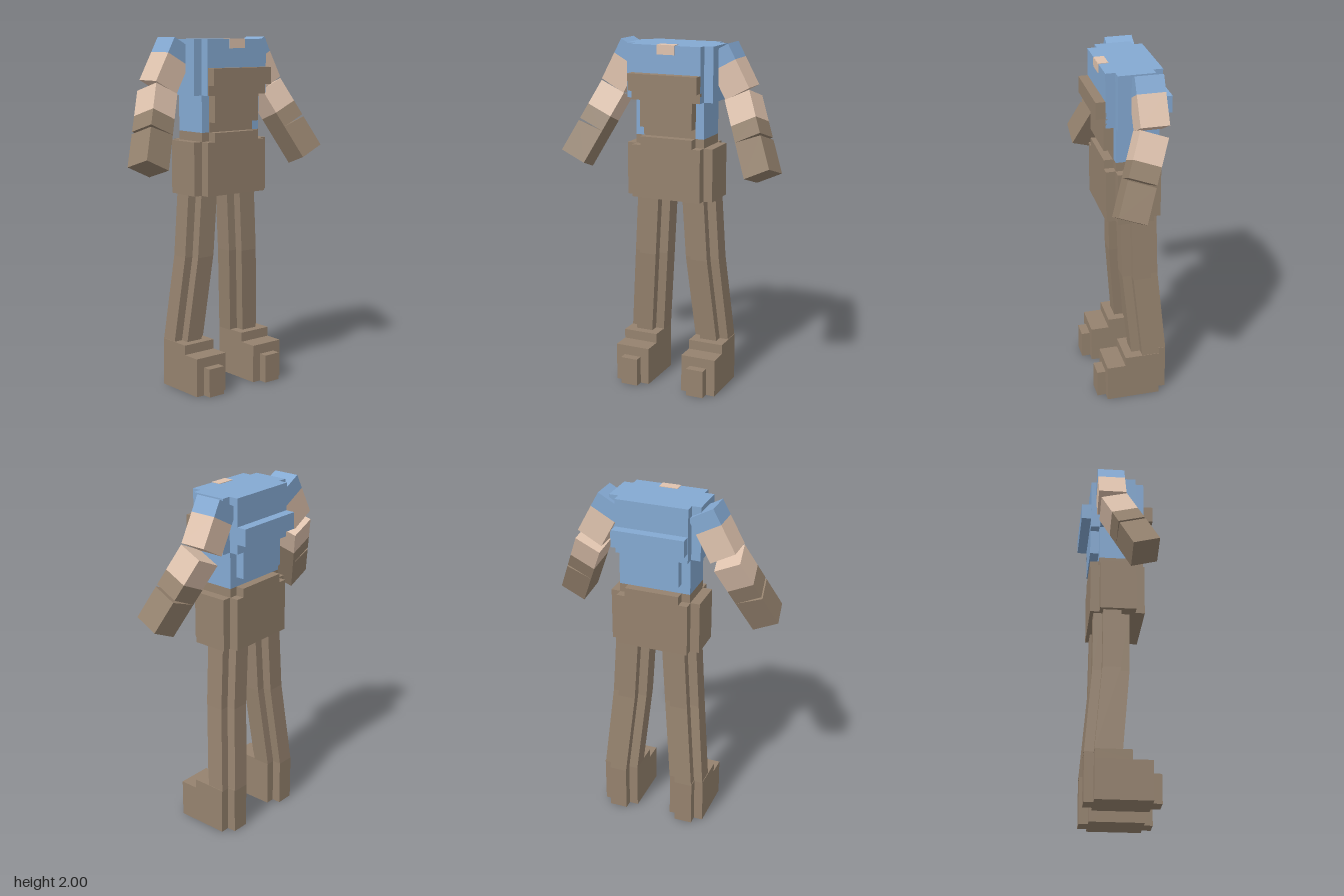
import * as THREE from 'three';

const mat = (name, color) => Object.assign(new THREE.MeshStandardMaterial({ color }), { name });

export function createModel() {
  const blue = mat('shirt blue', 0x84a9d2);
  const brown = mat('overall brown', 0x95826e);
  const skin = mat('skin', 0xdfc3ae);
  const model = new THREE.Group();
  const V = (x, y, z) => new THREE.Vector3(x, y, z);

  // Axis-aligned block given by its limits
  function block(name, m, x0, x1, y0, y1, z0, z1, parent = model) {
    const mesh = new THREE.Mesh(new THREE.BoxGeometry(x1 - x0, y1 - y0, z1 - z0), m);
    mesh.position.set((x0 + x1) / 2, (y0 + y1) / 2, (z0 + z1) / 2);
    mesh.name = name;
    parent.add(mesh);
    return mesh;
  }

  // Plus-shaped outline: a rectangle with a square notch in each corner
  function plusShape(w, d, n) {
    const a = w / 2, b = d / 2;
    return new THREE.Shape([
      [a - n, -b], [a - n, n - b], [a, n - b], [a, b - n], [a - n, b - n], [a - n, b],
      [n - a, b], [n - a, b - n], [-a, b - n], [-a, n - b], [n - a, n - b], [n - a, -b],
    ].map(([x, y]) => new THREE.Vector2(x, y)));
  }

  // Plus-shaped column sheared between a bottom and a top centre
  function column(name, m, bottom, top, w, d, n, parent = model) {
    const h = top.y - bottom.y;
    const g = new THREE.ExtrudeGeometry(plusShape(w, d, n), { depth: h, bevelEnabled: false });
    g.rotateX(-Math.PI / 2);
    const p = g.attributes.position;
    for (let i = 0; i < p.count; i++) {
      const t = p.getY(i) / h;
      p.setX(i, p.getX(i) + (top.x - bottom.x) * t);
      p.setZ(i, p.getZ(i) + (top.z - bottom.z) * t);
    }
    g.translate(bottom.x, bottom.y, bottom.z);
    g.computeVertexNormals();
    const mesh = new THREE.Mesh(g, m);
    mesh.name = name;
    parent.add(mesh);
  }

  // Torso and hips
  const cx = 0.005, cz = -0.01;
  column('chest', blue, V(cx, 1.68, cz), V(cx, 1.985, cz), 0.52, 0.31, 0.053);
  block('backBand', blue, -0.2, 0.212, 1.735, 1.83, -0.22, -0.16);
  block('belly', blue, -0.2, 0.212, 1.475, 1.68, -0.115, 0.09);
  block('lowerBack', blue, -0.15, 0.163, 1.53, 1.68, -0.165, -0.115);
  block('bibBand', brown, -0.2, 0.212, 1.735, 1.83, 0.14, 0.198);
  block('bibUpper', brown, -0.2, 0.212, 1.68, 1.735, 0.095, 0.148);
  block('bibLower', brown, -0.15, 0.163, 1.53, 1.68, 0.09, 0.145);
  block('bibWaist', brown, -0.15, 0.163, 1.475, 1.53, 0.085, 0.094);
  block('waistband', brown, -0.2, 0.212, 1.425, 1.475, -0.115, 0.09);
  block('waistbandMiddle', brown, -0.15, 0.163, 1.425, 1.475, -0.165, 0.145);
  column('hips', brown, V(cx, 1.125, cz), V(cx, 1.425, cz), 0.52, 0.31, 0.053);

  // Neck opening: thin plates on the top and the front of the chest
  block('neckTop', skin, -0.047, 0.06, 1.982, 1.988, 0.09, 0.147);
  block('neckFront', skin, -0.047, 0.06, 1.935, 1.985, 0.141, 0.148);

  // Arm piece: width along u, depth along v, running from t0 to t1 along d.
  // The origin is the front outer edge; "gap" opens a wedge at the outer top.
  function armPiece(name, m, origin, u, v, d, t0, t1, parent, gap = 0) {
    const w = 0.156, g = new THREE.BoxGeometry(w, t1 - t0, w);
    g.translate(-w / 2, -(t0 + t1) / 2, -w / 2);
    const p = g.attributes.position;
    for (let i = 0; i < p.count; i++) {
      if (p.getX(i) > -0.01 && p.getY(i) > -t0 - 0.01) p.setY(i, -t0 - gap);
    }
    const basis = new THREE.Matrix4().makeBasis(u, d.clone().negate(), v.clone().negate());
    g.applyMatrix4(basis.setPosition(origin));
    g.computeVertexNormals();
    const mesh = new THREE.Mesh(g, m);
    mesh.name = name;
    parent.add(mesh);
  }

  function arm(parent) {
    // Upper arm slopes outward
    const u1 = V(0.878, 0.478, 0), v1 = V(0, 0, -1), d1 = V(0.478, -0.878, 0);
    const shoulder = V(0.323, 1.997, 0.018);
    armPiece('sleeve', blue, shoulder, u1, v1, d1, 0, 0.093, parent);
    armPiece('upperArm', skin, shoulder, u1, v1, d1, 0.093, 0.265, parent);
    // Forearm also swings forward, leaving a notch behind the elbow
    const u2 = V(0.908, 0.419, 0).normalize();
    const d2 = V(0.392, -0.849, 0.347);
    d2.addScaledVector(u2, -d2.dot(u2)).normalize();
    const v2 = new THREE.Vector3().crossVectors(d2, u2).normalize();
    if (v2.z > 0) v2.negate();
    const elbow = V(0.45, 1.756, 0.02);
    armPiece('forearm', skin, elbow, u2, v2, d2, 0, 0.155, parent);
    armPiece('gloveCuff', brown, elbow, u2, v2, d2, 0.155, 0.25, parent);
    armPiece('hand', brown, elbow, u2, v2, d2, 0.25, 0.46, parent, 0.014);
  }

  function leg(parent) {
    // Thigh and shin bend at the knee
    column('thigh', brown, V(0.161, 0.765, -0.047), V(0.139, 1.13, -0.042), 0.206, 0.206, 0.052, parent);
    column('shin', brown, V(0.207, 0.27, -0.09), V(0.161, 0.765, -0.047), 0.206, 0.206, 0.052, parent);
    // Stepped boot
    const a = 0.105, b = 0.3125;
    block('bootAnkle', brown, a, b, 0.22, 0.275, -0.14, 0.062, parent);
    block('bootFoot', brown, a, b, 0, 0.22, -0.14, 0.17, parent);
    block('bootHeel', brown, a + 0.052, b - 0.052, 0, 0.275, -0.192, -0.14, parent);
    block('bootToe', brown, a + 0.052, b - 0.052, 0, 0.163, 0.17, 0.22, parent);
  }

  // Mirror a limb by reversing x and the triangle order
  function mirrored(source) {
    const copy = source.clone(true);
    copy.traverse((o) => {
      if (!o.isMesh) return;
      o.updateMatrix();
      const g = o.geometry.clone().applyMatrix4(o.matrix);
      const flat = g.index ? g.toNonIndexed() : g;
      const p = flat.attributes.position;
      for (let i = 0; i < p.count; i += 3) {
        const c = [0, 2, 1].map((k) => V(-p.getX(i + k), p.getY(i + k), p.getZ(i + k)));
        c.forEach((q, k) => p.setXYZ(i + k, q.x, q.y, q.z));
      }
      flat.computeVertexNormals();
      o.geometry = flat;
      o.position.set(0, 0, 0);
    });
    return copy;
  }

  for (const [name, build, shift] of [['Arm', arm, -0.005], ['Leg', leg, 0.0095]]) {
    const left = new THREE.Group();
    build(left);
    const right = mirrored(left);
    left.name = 'left' + name;
    right.name = 'right' + name;
    left.position.x = right.position.x = shift;
    model.add(left, right);
  }
  return model;
}
